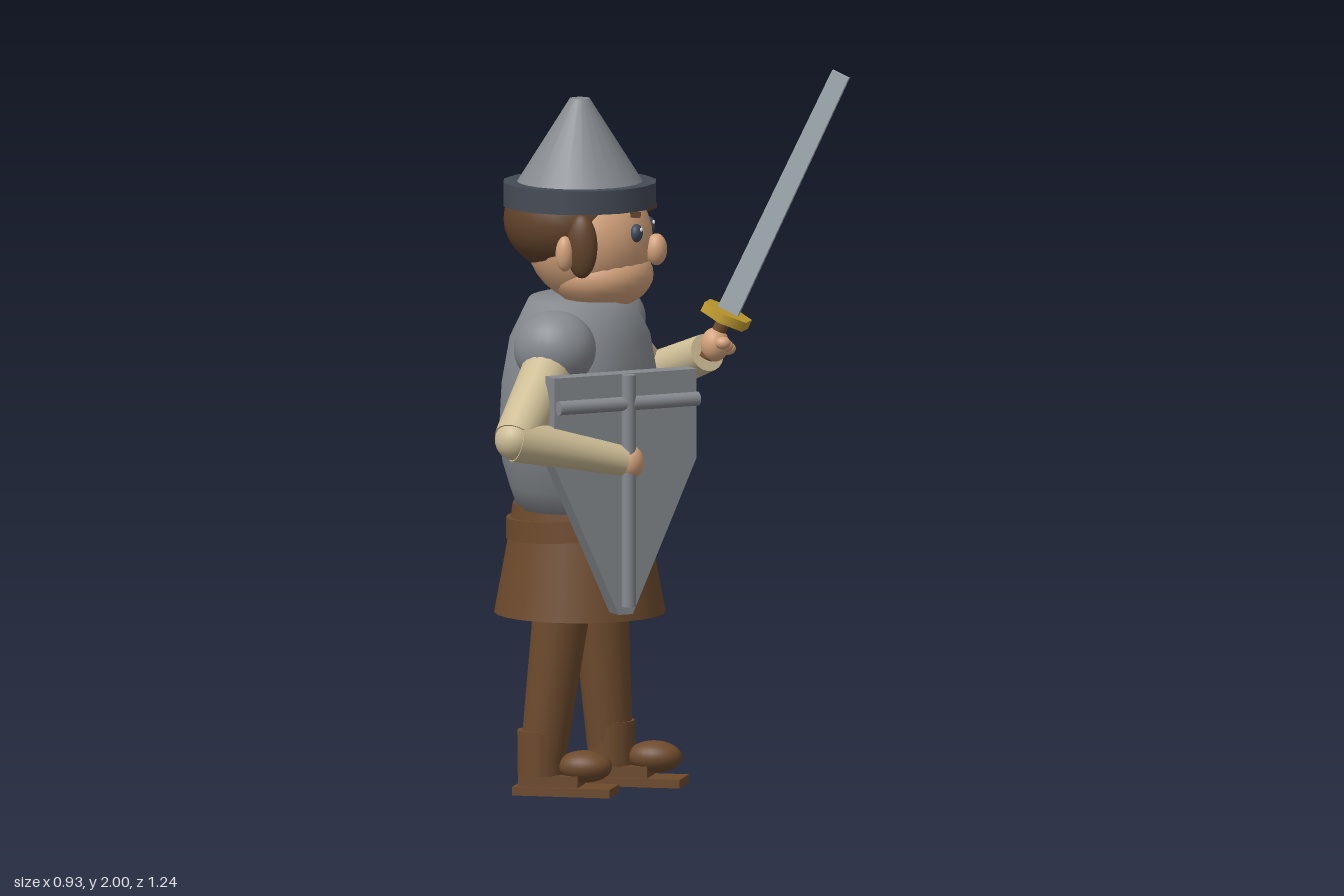
import * as THREE from 'three';

const mat = (name, color, side = THREE.FrontSide) => {
  const m = new THREE.MeshStandardMaterial({ color, side });
  m.name = name;
  return m;
};
const V = (x, y, z) => new THREE.Vector3(x, y, z);

export function createModel() {
  const steel = mat('steel', 0x868a8f);
  const darkSteel = mat('dark steel', 0x454b56);
  const bladeSteel = mat('blade steel', 0xa2adb4);
  const skin = mat('skin', 0xd3a27b);
  const hairBrown = mat('hair brown', 0x61432a);
  const leather = mat('leather', 0x6d4a2c);
  const cloth = mat('cream cloth', 0xcdbd95);
  const gold = mat('gold', 0xc39d2e);
  const eyeBlue = mat('eye blue', 0x3f4c5c);
  const white = mat('eye white', 0xe8e8e8);

  const model = new THREE.Group();
  model.name = 'knight';
  const CX = -0.228; // body axis

  const add = (name, geo, material, pos = [0, 0, 0], parent = model) => {
    const m = new THREE.Mesh(geo, material);
    m.name = name;
    m.position.set(...pos);
    parent.add(m);
    return m;
  };
  const ball = (name, material, pos, r, parent) => {
    const m = add(name, new THREE.SphereGeometry(1, 24, 16), material, pos, parent);
    m.scale.set(...r);
    return m;
  };
  // Tapered cylinder from a to b
  const limb = (name, material, a, b, ra, rb, seg = 18) => {
    const d = b.clone().sub(a);
    const m = add(name, new THREE.CylinderGeometry(rb, ra, d.length(), seg), material,
      a.clone().add(b).multiplyScalar(0.5).toArray());
    m.quaternion.setFromUnitVectors(V(0, 1, 0), d.normalize());
    return m;
  };

  // Helmet
  add('helmetCone', new THREE.CylinderGeometry(0.028, 0.18, 0.24, 24), steel, [CX, 1.83, 0]);
  add('helmetBrim', new THREE.CylinderGeometry(0.217, 0.217, 0.067, 16), darkSteel, [CX, 1.683, 0]);

  // Head, hair and face (facing +x)
  ball('head', skin, [-0.2, 1.555, 0], [0.178, 0.18, 0.168]);
  ball('jaw', skin, [-0.165, 1.455, 0], [0.145, 0.097, 0.152]);
  ball('hair', hairBrown, [-0.262, 1.61, 0], [0.18, 0.15, 0.188]);
  ball('nose', skin, [-0.008, 1.53, 0], [0.03, 0.045, 0.033]);
  for (const s of [1, -1]) {
    ball('sideburn', hairBrown, [-0.185, 1.555, s * 0.165], [0.045, 0.09, 0.03]);
    ball('ear', skin, [-0.23, 1.535, s * 0.18], [0.026, 0.05, 0.025]);
    ball('eye', eyeBlue, [-0.048, 1.585, s * 0.078], [0.018, 0.026, 0.024]);
    ball('eyeGlint', white, [-0.032, 1.596, s * 0.078 + 0.007], [0.004, 0.006, 0.006]);
    const brow = add('eyebrow', new THREE.BoxGeometry(0.025, 0.016, 0.06), hairBrown, [-0.052, 1.637, s * 0.078]);
    brow.rotation.y = s * 0.35;
    brow.rotation.x = s * -0.12;
  }

  // Breastplate: round profile stretched sideways level by level
  const levels = [ // y, half depth, half width
    [0.8, 0.175, 0.2], [0.86, 0.195, 0.228], [0.93, 0.215, 0.26], [1.0, 0.224, 0.28],
    [1.15, 0.215, 0.298], [1.28, 0.192, 0.28], [1.39, 0.14, 0.2],
  ];
  const profile = [[0.001, 0.8], ...levels.map((l) => [1, l[0]]), [0.001, 1.39]];
  const torso = new THREE.LatheGeometry(profile.map((p) => new THREE.Vector2(...p)), 32);
  const tp = torso.attributes.position;
  for (let i = 0; i < tp.count; i++) {
    const l = levels.find((k) => Math.abs(k[0] - tp.getY(i)) < 1e-4);
    tp.setX(i, tp.getX(i) * l[1]);
    tp.setZ(i, tp.getZ(i) * l[2]);
  }
  torso.computeVertexNormals();
  add('breastplate', torso, steel, [CX, 0, 0]);

  // Skirt, belt and buckle
  add('skirt', new THREE.CylinderGeometry(0.196, 0.24, 0.24, 24), leather, [CX, 0.62, 0]);
  add('waist', new THREE.CylinderGeometry(0.188, 0.198, 0.08, 24), leather, [CX, 0.77, 0]);
  const belt = add('belt', new THREE.CylinderGeometry(0.205, 0.208, 0.06, 24), leather, [CX, 0.75, 0]);
  belt.rotation.z = 0.06;
  add('buckle', new THREE.BoxGeometry(0.03, 0.046, 0.066), gold, [CX + 0.205, 0.768, 0]);

  // Legs and boots, left one a step behind
  for (const [s, hip, ankle] of [[1, -0.255, -0.312], [-1, -0.195, -0.165]]) {
    limb('leg', leather, V(ankle, 0.06, s * 0.118), V(hip, 0.52, s * 0.11), 0.062, 0.08);
    const boot = limb('bootShaft', leather, V(ankle, 0.055, s * 0.118), V(ankle, 0.18, s * 0.118), 0.066, 0.067);
    boot.name = 'bootShaft';
    add('sole', new THREE.BoxGeometry(0.28, 0.024, 0.12), leather, [ankle + 0.07, 0.012, s * 0.118]);
    add('bootBase', new THREE.BoxGeometry(0.17, 0.034, 0.1), leather, [ankle + 0.03, 0.04, s * 0.118]);
    ball('toe', leather, [ankle + 0.125, 0.08, s * 0.118], [0.078, 0.045, 0.056]);
  }

  // Arms
  const arms = [
    { s: 1, elbow: V(-0.285, 1.06, 0.56), wrist: V(-0.015, 0.985, 0.385), hand: V(0.0, 0.98, 0.372) },
    { s: -1, elbow: V(-0.155, 1.09, -0.56), wrist: V(0.055, 1.19, -0.365), hand: V(0.08, 1.215, -0.352) },
  ];
  for (const { s, elbow, wrist, hand } of arms) {
    ball('shoulderGuard', steel, [CX, 1.285, s * 0.315], [0.116, 0.108, 0.102]);
    limb('upperArm', cloth, V(CX, 1.27, s * 0.31), elbow, 0.075, 0.062);
    ball('elbow', cloth, elbow.toArray(), [0.058, 0.058, 0.058]);
    limb('forearm', cloth, elbow, wrist, 0.062, s > 0 ? 0.042 : 0.054);
    ball('hand', skin, hand.toArray(), [0.04, 0.048, 0.042]);
  }

  // Fingers curled round the sword grip
  for (let i = 0; i < 3; i++) {
    ball('finger', skin, [0.11, 1.2 + 0.012 * i, -0.385 + 0.032 * i], [0.022, 0.018, 0.02]);
  }

  // Sword, built upright then tilted
  const sword = new THREE.Group();
  sword.name = 'sword';
  model.add(sword);
  sword.position.set(0.112, 1.298, -0.353);
  sword.quaternion.setFromUnitVectors(V(0, 1, 0), V(0.325, 0.69, -0.02).normalize());
  const blade = new THREE.BoxGeometry(0.052, 0.762, 0.021);
  const bp = blade.attributes.position;
  for (let i = 0; i < bp.count; i++) if (bp.getY(i) < 0) bp.setX(i, bp.getX(i) * 1.2);
  blade.computeVertexNormals();
  add('blade', blade, bladeSteel, [0, 0.381, 0], sword);
  add('crossGuard', new THREE.CylinderGeometry(0.076, 0.076, 0.028, 6), gold, [0, 0, 0], sword);
  add('grip', new THREE.CylinderGeometry(0.02, 0.02, 0.13, 12), leather, [0, -0.07, 0], sword);

  // Shield: local x along its width, local z outward
  const shield = new THREE.Group();
  shield.name = 'shield';
  model.add(shield);
  shield.rotation.y = Math.atan2(0.634, 0.773);
  shield.position.set(0.634 * 0.224 - 0.773 * 0.246, 0, 0.773 * 0.224 + 0.634 * 0.246);
  const outline = new THREE.Shape([
    [-0.222, 1.23], [-0.222, 0.98], [-0.022, 0.55], [0.022, 0.55], [0.222, 0.98], [0.222, 1.23],
  ].map((p) => new THREE.Vector2(...p)));
  add('shieldPlate', new THREE.ExtrudeGeometry(outline, { depth: 0.058, bevelEnabled: false }), steel, [0, 0, 0], shield);
  add('shieldUprightBar', new THREE.CylinderGeometry(0.02, 0.02, 0.655, 12), steel, [0, 0.902, 0.076], shield);
  const bar = add('shieldCrossBar', new THREE.CylinderGeometry(0.02, 0.02, 0.436, 12), steel, [0, 1.148, 0.074], shield);
  bar.rotation.z = Math.PI / 2;

  return model;
}
